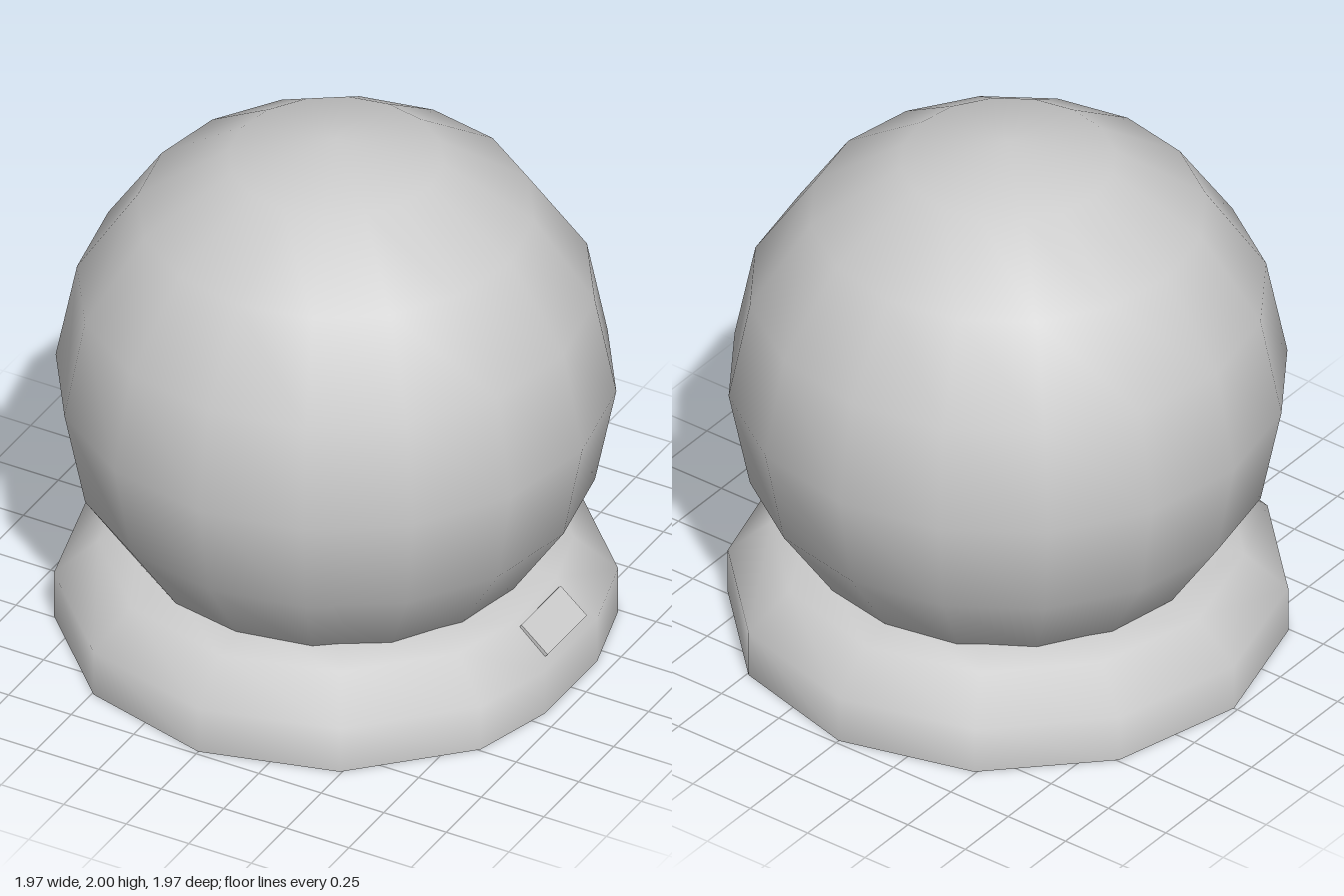
import * as THREE from 'three';
import { mergeVertices } from 'three/addons/utils/BufferGeometryUtils.js';

const material = new THREE.MeshStandardMaterial({ color: 0xcccccc });

function addMesh(group, name, geometry) {
  const mesh = new THREE.Mesh(geometry, material);
  mesh.name = name;
  group.add(mesh);
  return mesh;
}

export function createModel() {
  const model = new THREE.Group();
  model.name = 'snowGlobe';

  // Globe: low-segment ball with smooth shading
  const radius = 0.985;
  addMesh(model, 'globe', new THREE.SphereGeometry(radius, 16, 8)).position.y = 1.015;

  // Base outline: twelve corners, the one at +x cut flat for the plate
  const cut = 11.25;
  const corners = [];
  for (let a = 0; a < 360; a += 30) {
    if (a === 90) corners.push([90 - cut, 0.973], [90 + cut, 0.973]);
    else corners.push([a, 1]);
  }
  const outline = corners.map(([deg, scale]) => {
    const a = THREE.MathUtils.degToRad(deg);
    return new THREE.Vector2(Math.sin(a) * scale, Math.cos(a) * scale);
  });

  // Base wall and rounded shoulder: lathe columns moved onto the outline
  const profile = [[radius, 0], [radius, 0.18], [0.83, 0.315], [0.68, 0.358], [0.3, 0.36]]
    .map(([r, y]) => new THREE.Vector2(r, y));
  let wall = new THREE.LatheGeometry(profile, outline.length);
  const pos = wall.attributes.position;
  for (let i = 0; i < pos.count; i++) {
    const corner = outline[Math.floor(i / profile.length) % outline.length];
    const p = profile[i % profile.length];
    pos.setXYZ(i, corner.x * p.x, p.y, corner.y * p.x);
  }
  wall.deleteAttribute('uv');
  wall.deleteAttribute('normal');
  wall = mergeVertices(wall);
  wall.computeVertexNormals();
  addMesh(model, 'base', wall);

  // Flat underside
  const floor = new THREE.ShapeGeometry(
    new THREE.Shape(outline.map((c) => c.clone().multiplyScalar(radius))));
  floor.rotateX(Math.PI / 2);
  addMesh(model, 'baseUnderside', floor);

  // Small plate lying on the sloped shoulder
  const plate = addMesh(model, 'plate', new THREE.BoxGeometry(0.138, 0.04, 0.28));
  plate.position.set(0.859, 0.245, 0);
  plate.rotation.z = -0.71;

  return model;
}
